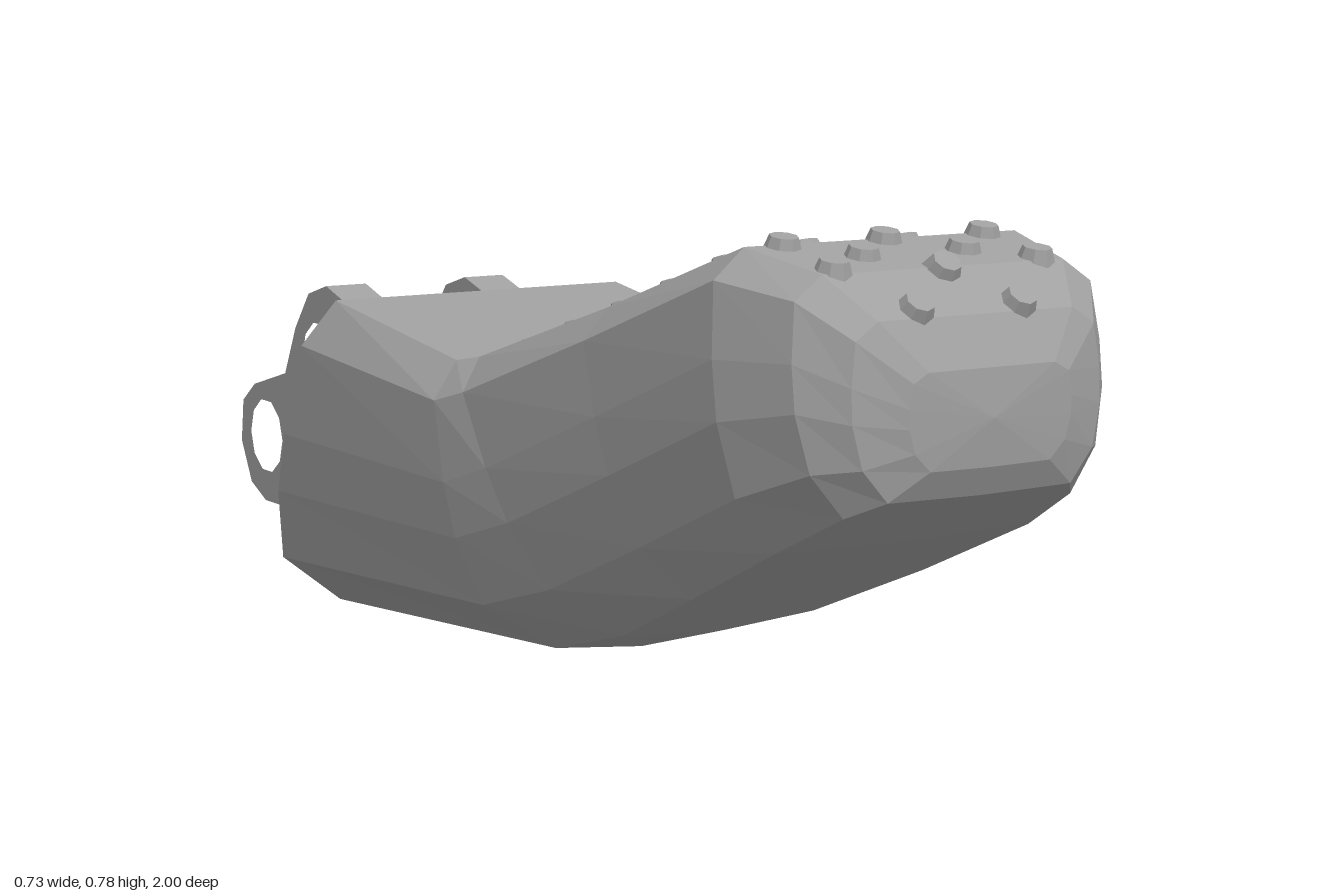
import * as THREE from 'three';

const lerp = THREE.MathUtils.lerp;

// Half outlines (x fraction, height fraction), top centre to bottom centre
const REAR = [[0, 1], [0.85, 1], [1, 0.87], [1, 0.6], [0.97, 0.42], [0.86, 0.2], [0.45, 0.035], [0, 0]];
const TIP = [[0, 1], [0.78, 1], [0.96, 0.9], [1, 0.65], [1, 0.45], [0.93, 0.2], [0.74, 0.01], [0, 0]];

// Sections from back to front: zTop, yTop, zBottom, yBottom, half width, blend from rear to tip
const SECTIONS = [
  [-0.40, 0.58, -0.665, 0.005, 0.31, 0],
  [0.0, 0.53, 0.12, 0.08, 0.305, 0.15],
  [0.05, 0.54, 0.35, 0.15, 0.296, 0.4],
  [0.40, 0.65, 0.58, 0.255, 0.288, 0.8],
  [0.74, 0.765, 0.8, 0.36, 0.285, 1],
  [0.88, 0.74, 0.92, 0.425, 0.25, 1],
  [0.95, 0.685, 0.965, 0.45, 0.2, 1],
  [0.985, 0.62, 0.985, 0.49, 0.13, 1],
];

function bodyGeometry() {
  const pos = [], index = [];
  const n = 14;
  for (const [zT, yT, zB, yB, w, t] of SECTIONS) {
    for (let j = 0; j < n; j++) {
      const k = j < 8 ? j : n - j;
      const side = j < 8 ? 1 : -1;
      const u = lerp(REAR[k][1], TIP[k][1], t);
      pos.push(side * w * lerp(REAR[k][0], TIP[k][0], t), lerp(yB, yT, u), lerp(zB, zT, u));
    }
  }
  const last = SECTIONS.length - 1;
  for (let i = 0; i < last; i++) {
    for (let j = 0; j < n; j++) {
      const a = i * n + j, b = i * n + (j + 1) % n;
      index.push(a, a + n, b, b, a + n, b + n);
    }
  }
  // End caps
  for (const [s, front] of [[0, false], [last, true]]) {
    const [zT, yT, zB, yB] = SECTIONS[s];
    const c = pos.length / 3;
    pos.push(0, (yT + yB) / 2, (zT + zB) / 2 + (front ? 0.006 : 0));
    for (let j = 0; j < n; j++) {
      const a = s * n + j, b = s * n + (j + 1) % n;
      if (front) index.push(c, b, a);
      else index.push(c, a, b);
    }
  }
  const g = new THREE.BufferGeometry();
  g.setAttribute('position', new THREE.Float32BufferAttribute(pos, 3));
  g.setIndex(index);
  const flat = g.toNonIndexed();
  flat.computeVertexNormals();
  return flat;
}

// Height and slope angle of the top centre line at z
function topAt(z) {
  let i = 1;
  while (i < SECTIONS.length - 2 && SECTIONS[i + 1][0] < z) i++;
  const [z0, y0] = SECTIONS[i], [z1, y1] = SECTIONS[i + 1];
  return { y: lerp(y0, y1, (z - z0) / (z1 - z0)), slope: Math.atan2(y1 - y0, z1 - z0) };
}

// Hinge plate outline drawn with x pointing to the back
function lugGeometry(depth) {
  const outline = [[0.44, 0.36], [0.52, 0.49], [0.56, 0.555], [0.63, 0.575], [0.7, 0.555], [0.755, 0.49],
    [0.8, 0.405], [0.93, 0.37], [0.98, 0.335], [0.99, 0.26], [0.95, 0.19], [0.89, 0.165], [0.65, 0.17], [0.52, 0.2]];
  const shape = new THREE.Shape(outline.map(([x, y]) => new THREE.Vector2(x, y)));
  for (const [x, y, r] of [[0.662, 0.445, 0.065], [0.882, 0.283, 0.066]]) {
    const hole = new THREE.Path();
    hole.absarc(x, y, r, 0, Math.PI * 2, true);
    shape.holes.push(hole);
  }
  return new THREE.ExtrudeGeometry(shape, { depth, bevelEnabled: false, curveSegments: 5 });
}

export function createModel() {
  const grey = new THREE.MeshStandardMaterial({ color: 0xa0a0a0, flatShading: true });
  grey.name = 'grey';
  const model = new THREE.Group();
  const digit = new THREE.Group();
  digit.name = 'digit';
  model.add(digit);
  const add = (name, geometry, parent = digit) => {
    const mesh = new THREE.Mesh(geometry, grey);
    mesh.name = name;
    parent.add(mesh);
    return mesh;
  };

  add('body', bodyGeometry());

  // Grip studs in alternating rows of three and two
  const studs = new THREE.Group();
  studs.name = 'gripStuds';
  digit.add(studs);
  const studGeometry = new THREE.CylinderGeometry(0.02, 0.03, 0.03, 8);
  for (let row = 0; row < 14; row++) {
    const z = 0.085 + row * 0.0665;
    const xs = row % 2 ? [-0.087, 0.077] : [-0.168, -0.005, 0.16];
    for (const x of xs) {
      const zs = Math.min(z, 0.945) - (row > 11 ? Math.abs(x) * 0.1 : 0);
      const { y, slope } = topAt(zs);
      const stud = add('stud', studGeometry, studs);
      stud.position.set(x, y, zs);
      stud.rotation.x = -slope;
    }
  }

  // Pair of hinge plates
  const thick = 0.075;
  const lug = lugGeometry(thick);
  for (const side of [-1, 1]) {
    const plate = add(side > 0 ? 'leftHingePlate' : 'rightHingePlate', lug);
    plate.rotation.y = Math.PI / 2;
    plate.position.x = side * 0.133 - thick / 2;
  }

  // Saddle web between the plates, hollowed towards the back
  const web = new THREE.Shape();
  web.moveTo(-0.1, 0.45);
  web.lineTo(0.1, 0.45);
  web.lineTo(0.1, 0.8);
  web.quadraticCurveTo(0.08, 0.72, 0, 0.715);
  web.quadraticCurveTo(-0.08, 0.72, -0.1, 0.8);
  const saddle = add('hingeSaddle', new THREE.ExtrudeGeometry(web, { depth: 0.17, bevelEnabled: false, curveSegments: 4 }));
  saddle.rotation.x = -Math.PI / 2;
  saddle.position.y = 0.175;

  // Cross bar joining the upper plates
  const bar = add('hingeBar', new THREE.BoxGeometry(0.2, 0.2, 0.07));
  bar.position.set(0, 0.4, -0.535);
  bar.rotation.x = 0.45;

  digit.rotation.y = 0.111;
  digit.position.x = -0.004;
  return model;
}
